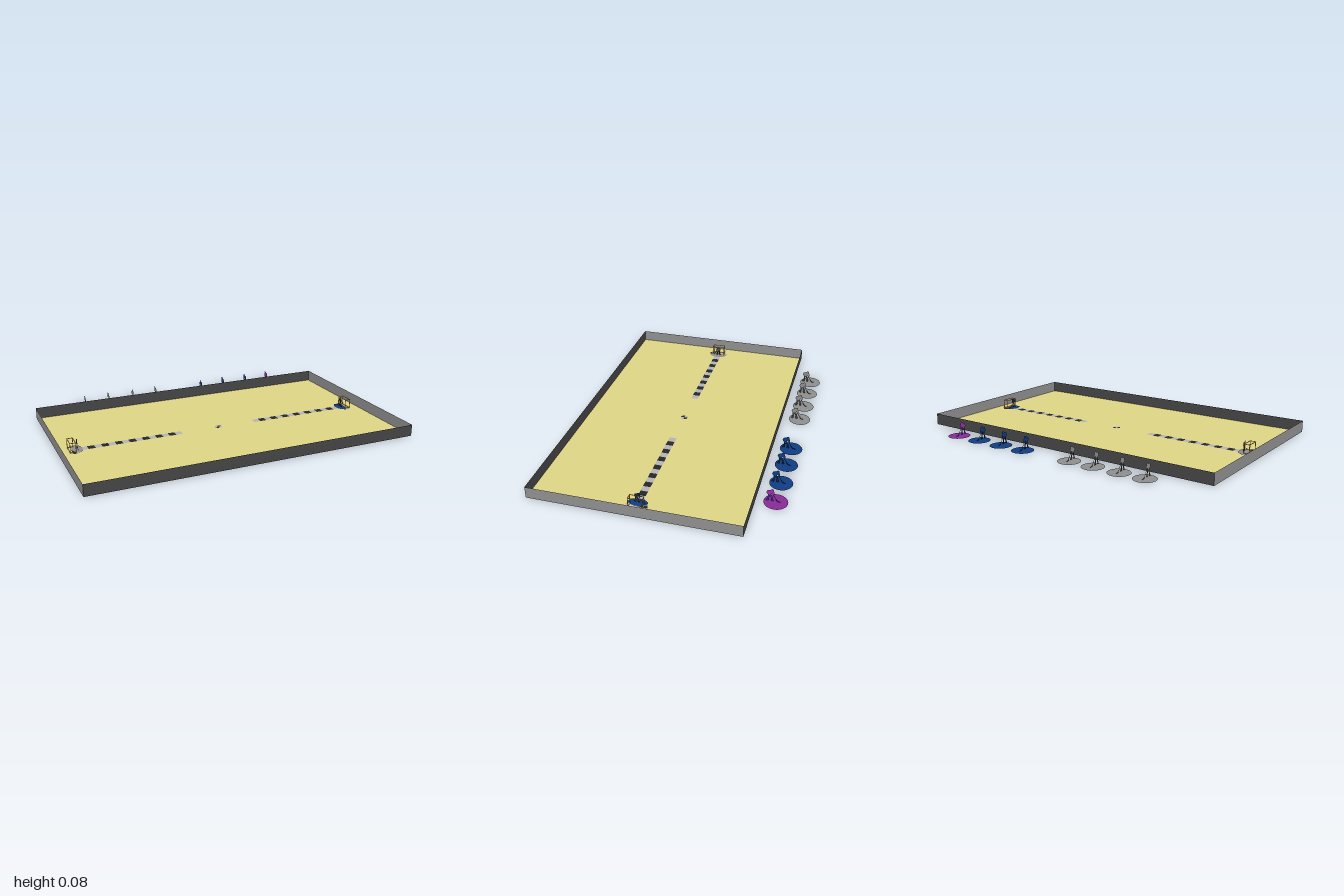
import * as THREE from 'three';

const CZ = 0.0875;   // centre line of the field
const HALF = 0.5975; // half depth of the field
const WALL = 0.07;

const mat = (color) => new THREE.MeshStandardMaterial({ color, side: THREE.DoubleSide });
const M = {
  floor: mat(0xdcd484), longWall: mat(0x444444), endWall: mat(0x909090),
  black: mat(0x262626), pale: mat(0xb4b2b4), grey: mat(0x8e8e8e), darkGrey: mat(0x4c4c4c),
  blue: mat(0x0f3c82), darkBlue: mat(0x10264e), purple: mat(0x862a96), violet: mat(0xa030b4),
  indigo: mat(0x45349a), orange: mat(0xe09a3c),
};

function add(parent, name, geometry, material, x = 0, y = 0, z = 0) {
  const mesh = new THREE.Mesh(geometry, material);
  mesh.name = name;
  mesh.position.set(x, y, z);
  parent.add(mesh);
  return mesh;
}

// flat pieces lying on the ground, facing up
const flatRect = (w, d) => new THREE.PlaneGeometry(w, d).rotateX(-Math.PI / 2);
const flatDisc = (r, n = 40, start = 0, sweep = Math.PI * 2) =>
  new THREE.CircleGeometry(r, n, start, sweep).rotateX(-Math.PI / 2);

// flat upright outline; points are (distance towards -z, height)
function cutout(points) {
  const shape = new THREE.Shape(points.map(([u, v]) => new THREE.Vector2(u, v)));
  return new THREE.ShapeGeometry(shape).rotateY(Math.PI / 2);
}

// flat player bending over a stick
function makeFigure(name, bodyMat, legMat) {
  const g = new THREE.Group();
  g.name = name;
  add(g, 'torso', cutout([[-0.027, 0.054], [-0.022, 0.069], [-0.008, 0.075], [0.006, 0.074],
    [0.016, 0.064], [0.018, 0.046], [0.012, 0.042], [0.004, 0.052], [-0.004, 0.044],
    [-0.019, 0.044]]), bodyMat);
  const head = add(g, 'head', new THREE.CircleGeometry(0.0085, 16), bodyMat, 0, 0.073, -0.005);
  head.rotation.y = Math.PI / 2;
  add(g, 'backLeg', cutout([[-0.019, 0.046], [-0.018, 0.024], [-0.028, 0.004], [-0.014, 0.004],
    [-0.011, 0.024], [-0.005, 0.046]]), legMat);
  add(g, 'frontLeg', cutout([[-0.011, 0.046], [0.0, 0.025], [0.001, 0.004], [0.014, 0.004],
    [0.009, 0.026], [0.003, 0.046]]), legMat);
  add(g, 'stick', cutout([[0.011, 0.046], [0.036, 0.007], [0.053, 0.003], [0.053, 0.0005],
    [0.034, 0.003], [0.008, 0.045]]), legMat);
  return g;
}

// goal end for the +x side; the other end is turned round
function makeGoalEnd(name, discMat, bodyMat) {
  const g = new THREE.Group();
  g.name = name;

  // chequered crease
  for (let i = 0; i < 8; i++) {
    const step = Math.PI / 8;
    add(g, 'creaseSector', flatDisc(0.063, 5, Math.PI / 2 + i * step, step),
      i % 2 ? M.pale : M.black, 0.92, 0.003, 0);
  }
  // goalkeeper on an oval base
  const base = add(g, 'keeperBase', flatDisc(0.055), discMat, 0.885, 0.005, 0);
  base.scale.x = 0.55;
  const keeper = makeFigure('keeper', bodyMat, M.black);
  keeper.scale.setScalar(0.78);
  keeper.position.set(0.885, 0.005, 0);
  g.add(keeper);

  // goal frame
  const t = 0.003, h = 0.06, front = 0.9, back = 0.933, half = 0.04;
  for (const s of [-1, 1]) {
    for (const x of [front, back])
      add(g, 'goalPost', new THREE.BoxGeometry(t, h, t), M.orange, x, h / 2, s * half);
    for (const y of [0.005, h])
      add(g, 'goalSideRail', new THREE.BoxGeometry(back - front, t, t), M.orange,
        (front + back) / 2, y, s * half);
  }
  for (const [x, y] of [[front, h], [back, h], [back, 0.005]])
    add(g, 'goalCrossbar', new THREE.BoxGeometry(t, t, half * 2 + t), M.orange, x, y, 0);
  return g;
}

export function createModel() {
  const model = new THREE.Group();
  model.name = 'playingField';

  // floor and thin walls
  add(model, 'floor', flatRect(2, HALF * 2), M.floor, 0, 0, CZ);
  for (const s of [-1, 1]) {
    add(model, 'longWall', new THREE.PlaneGeometry(2, WALL), M.longWall, 0, WALL / 2, CZ + s * HALF);
    const end = add(model, 'endWall', new THREE.PlaneGeometry(HALF * 2, WALL), M.endWall,
      s, WALL / 2, CZ);
    end.rotation.y = Math.PI / 2;
  }

  // chequered strips along the centre line
  const tile = 0.0415;
  for (const s of [-1, 1])
    for (let i = 0; i < 15; i++)
      add(model, 'stripTile', flatRect(tile, 0.043), i % 2 ? M.black : M.pale,
        s * (0.242 + tile * (i + 0.5)), 0.002, CZ);

  // quartered centre spot
  for (let i = 0; i < 4; i++)
    add(model, 'centreSpot', flatDisc(0.022, 8, i * Math.PI / 2, Math.PI / 2),
      i % 2 ? M.pale : M.black, 0, 0.002, CZ);

  // goals
  const leftEnd = makeGoalEnd('leftGoalEnd', M.blue, M.darkBlue);
  const rightEnd = makeGoalEnd('rightGoalEnd', M.grey, M.darkGrey);
  rightEnd.rotation.y = Math.PI;
  for (const e of [leftEnd, rightEnd]) {
    e.position.z = CZ;
    model.add(e);
  }

  // row of spare players behind the field
  const teams = [
    [[-0.663, -0.503, -0.334, -0.171], M.grey, M.grey, M.darkGrey],
    [[0.168, 0.337, 0.513], M.blue, M.blue, M.darkBlue],
    [[0.684], M.purple, M.violet, M.indigo],
  ];
  for (const [xs, disc, body, legs] of teams)
    for (const x of xs) {
      add(model, 'playerBase', flatDisc(0.066), disc, x, 0.001, -0.619);
      const player = makeFigure('player', body, legs);
      player.position.set(x, 0, -0.592);
      model.add(player);
    }
  return model;
}
